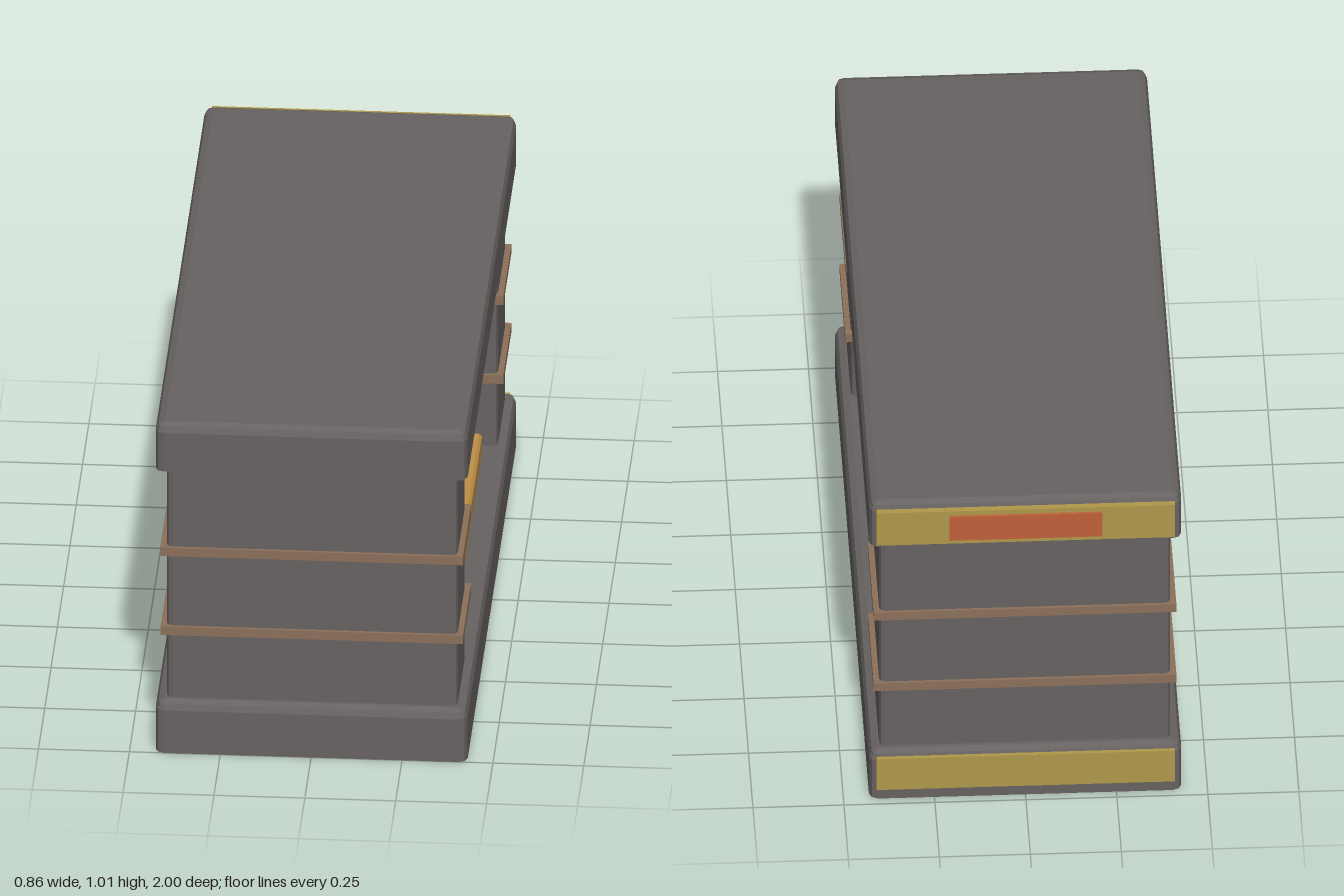
import * as THREE from 'three';

const material = (name, color) => {
  const m = new THREE.MeshStandardMaterial({ color, flatShading: true });
  m.name = name;
  return m;
};

// Box with bevelled upright and top edges and a sharp, flat bottom
function bevelledBlock(w, h, d, r, seg = 2) {
  const ring = (y, inset) => {
    const pts = [];
    const rr = Math.max(r - inset, 1e-4);
    for (let c = 0; c < 4; c++) {
      const sx = c === 0 || c === 3 ? 1 : -1;
      const sz = c < 2 ? 1 : -1;
      for (let i = 0; i <= seg; i++) {
        const a = (c + i / seg) * Math.PI / 2;
        pts.push([sx * (w / 2 - r) + rr * Math.cos(a), y, sz * (d / 2 - r) + rr * Math.sin(a)]);
      }
    }
    return pts;
  };
  const rings = [ring(0, 0)];
  for (let i = 0; i <= seg; i++) {
    const a = (i / seg) * Math.PI / 2;
    rings.push(ring(h - r + r * Math.sin(a), r * (1 - Math.cos(a))));
  }
  const pos = [];
  const tri = (a, b, c) => pos.push(...a, ...b, ...c);
  const n = rings[0].length;
  const last = rings[rings.length - 1];
  for (let j = 0; j < n; j++) {
    const k = (j + 1) % n;
    for (let i = 0; i + 1 < rings.length; i++) {
      const lo = rings[i], hi = rings[i + 1];
      tri(lo[j], hi[j], hi[k]);
      tri(lo[j], hi[k], lo[k]);
    }
    tri([0, 0, 0], rings[0][j], rings[0][k]);
    tri([0, h, 0], last[k], last[j]);
  }
  const g = new THREE.BufferGeometry();
  g.setAttribute('position', new THREE.Float32BufferAttribute(pos, 3));
  g.computeVertexNormals();
  return g;
}

export function createModel() {
  const model = new THREE.Group();
  model.name = 'press';
  const stone = material('dark grey', 0x686262);
  const steel = material('light grey', 0x9c9e9b);
  const copper = material('brown', 0x8c705a);
  const amber = material('amber', 0xbe8f46);
  const brass = material('brass', 0xb0984a);
  const red = material('rust red', 0xc0603a);
  const midZ = 0.0125;

  const add = (name, geometry, mat, x, y, z) => {
    const mesh = new THREE.Mesh(geometry, mat);
    mesh.name = name;
    mesh.position.set(x, y, z);
    model.add(mesh);
  };

  // Base, top beam and work bed
  add('base', bevelledBlock(0.858, 0.155, 1.975, 0.025), stone, 0, 0, midZ);
  add('topBeam', bevelledBlock(0.858, 0.143, 1.975, 0.025), stone, 0, 0.863, midZ);
  add('workBed', bevelledBlock(0.72, 0.06, 1.21, 0.008, 1), amber, 0, 0.155, midZ);

  // Banded pillars at both ends
  for (const side of [1, -1]) {
    const end = side > 0 ? 'front' : 'back';
    const z = midZ + side * 0.8;
    add(end + 'Pillar', bevelledBlock(0.8, 0.71, 0.306, 0.016), stone, 0, 0.155, z);
    for (const y of [0.362, 0.604]) {
      add(end + 'Band', new THREE.BoxGeometry(0.832, 0.026, 0.324), copper, 0, y, z);
    }
  }

  // Ram hanging from the beam, with its pressing plate
  add('ram', new THREE.CylinderGeometry(0.143, 0.143, 0.385, 12), steel, 0, 0.6775, midZ);
  add('pressPlate', new THREE.CylinderGeometry(0.235, 0.235, 0.048, 12), stone, 0, 0.462, midZ);

  // Plates on the back
  add('upperBackPlate', new THREE.BoxGeometry(0.82, 0.11, 0.018), brass, 0, 0.935, -0.984);
  add('lowerBackPlate', new THREE.BoxGeometry(0.82, 0.105, 0.012), brass, 0, 0.09, -0.98);
  add('backPanel', new THREE.BoxGeometry(0.42, 0.08, 0.009), red, 0, 0.935, -0.9955);
  return model;
}
